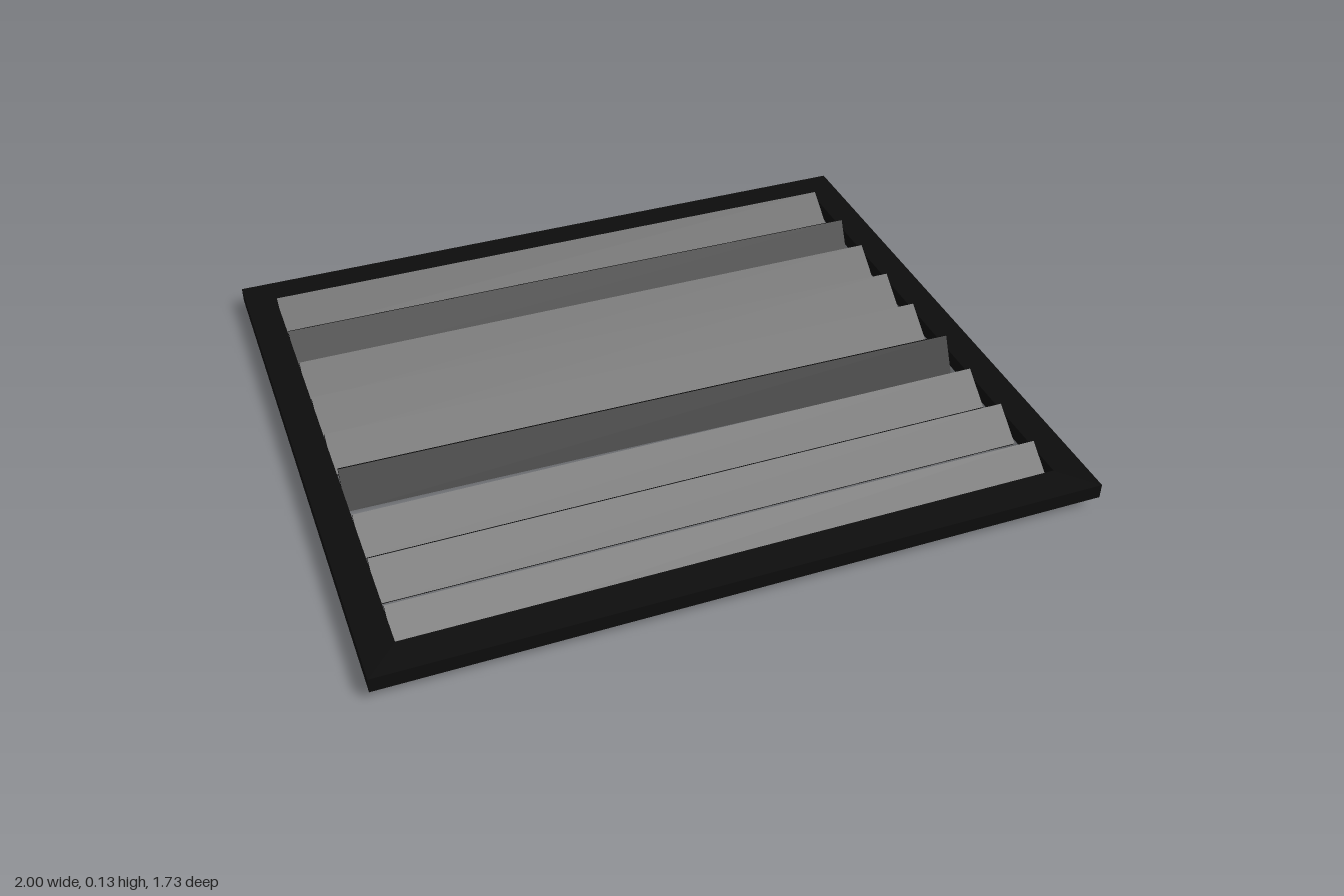
import * as THREE from 'three';

export function createModel() {
  const model = new THREE.Group();
  model.name = 'louveredVent';
  const black = new THREE.MeshStandardMaterial({ color: 0x0c0c0c });
  black.name = 'black';

  const rectangle = (PathType, w, d) => new PathType([
    new THREE.Vector2(-w, -d), new THREE.Vector2(w, -d),
    new THREE.Vector2(w, d), new THREE.Vector2(-w, d),
  ]);

  // Flat border with one rectangular opening
  const outline = rectangle(THREE.Shape, 1, 0.866);
  outline.holes.push(rectangle(THREE.Path, 0.91, 0.769));
  const frameGeometry = new THREE.ExtrudeGeometry(outline, { depth: 0.043, bevelEnabled: false });
  frameGeometry.rotateX(-Math.PI / 2);
  const frame = new THREE.Mesh(frameGeometry, black);
  frame.name = 'frame';
  frame.position.y = 0.048;
  model.add(frame);

  // Nine tilted slats; two hang loose, steeper and slightly askew
  const loose = {
    1: { y: 0.061, pitch: 1.09, roll: 0.003 },
    5: { y: 0.077, pitch: 1.09, roll: -0.004 },
  };
  const slatGeometry = new THREE.BoxGeometry(1.82, 0.012, 0.119);
  for (let i = 0; i < 9; i++) {
    const slat = new THREE.Mesh(slatGeometry, black);
    const bent = loose[i];
    slat.name = bent ? 'looseSlat' : 'slat';
    slat.rotation.order = 'YZX';
    slat.position.set(0, bent ? bent.y : 0.07, (i - 4) * 0.176);
    if (bent) slat.rotation.set(bent.pitch, -0.008, bent.roll);
    else slat.rotation.x = 0.66;
    model.add(slat);
  }
  return model;
}
